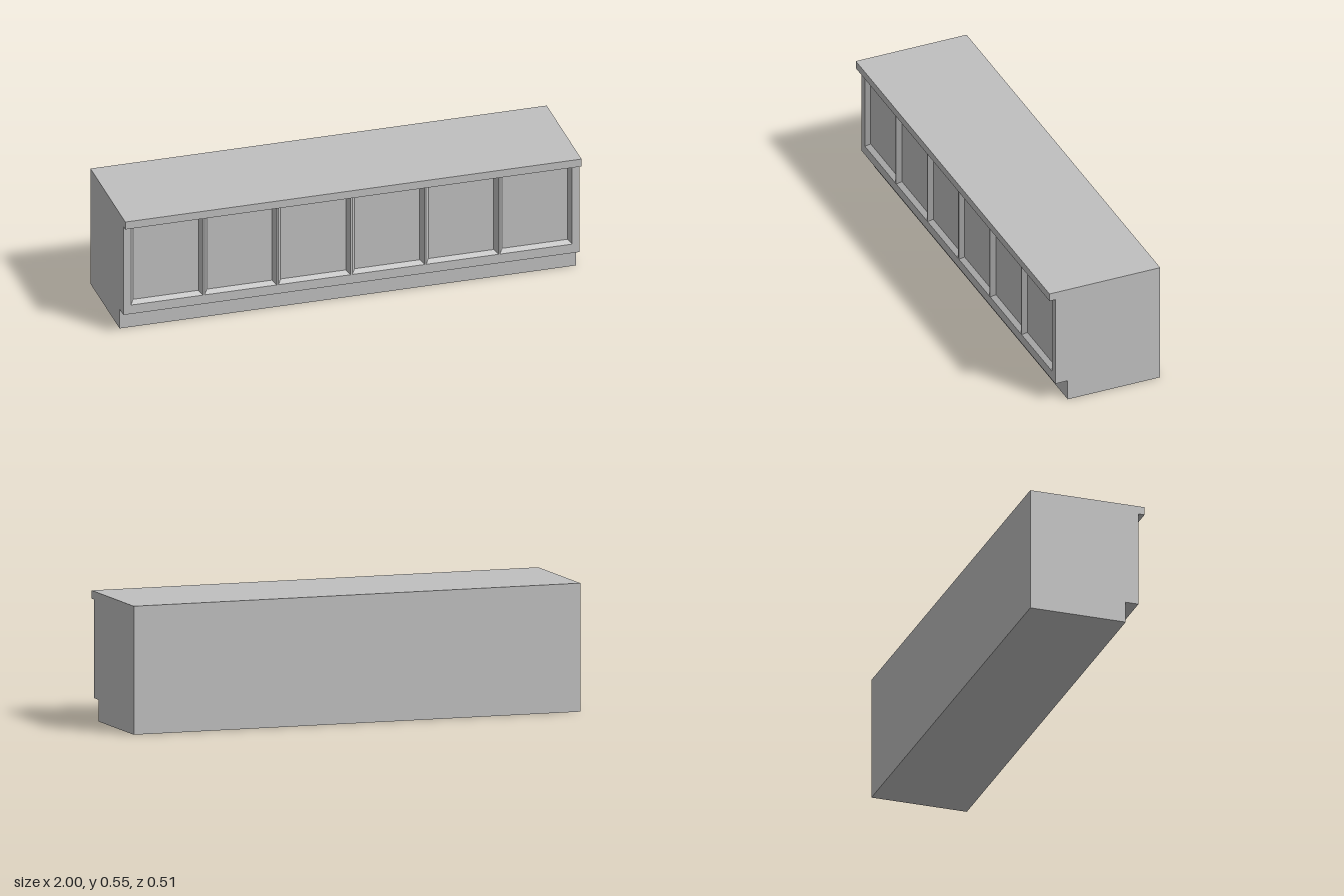
import * as THREE from 'three';

const grey = new THREE.MeshStandardMaterial({ color: 0xc0c0c0 });
grey.name = 'plain grey';

const BACK = -0.254, RECESS = 0.208, FRONT = 0.228;
const BASE = 0.092, TOP = 0.51;

// Box given by its height range and depth range, spanning the full width
function slab(name, y0, y1, z0, z1) {
  const geo = new THREE.BoxGeometry(2, y1 - y0, z1 - z0);
  geo.translate(0, (y0 + y1) / 2, (z0 + z1) / 2);
  const mesh = new THREE.Mesh(geo, grey);
  mesh.name = name;
  return mesh;
}

function rectangle(target, x0, y0, x1, y1) {
  target.moveTo(x0, y0);
  target.lineTo(x1, y0);
  target.lineTo(x1, y1);
  target.lineTo(x0, y1);
  target.closePath();
  return target;
}

// Face frame with six openings whose edges slope inward toward the recessed panels
function faceFrame() {
  const count = 6, pitch = 0.3236, halfW = 0.158, y0 = 0.134, y1 = 0.503, bevel = 0.015;
  const shape = rectangle(new THREE.Shape(), -1, BASE, 1, TOP);
  for (let i = 0; i < count; i++) {
    const x = (i - (count - 1) / 2) * pitch;
    shape.holes.push(rectangle(new THREE.Path(), x - halfW, y0, x + halfW, y1));
  }
  const geo = new THREE.ExtrudeGeometry(shape, { depth: FRONT - RECESS, bevelEnabled: false });

  // Draw the rear corners of each opening inward to make the chamfers
  const pos = geo.attributes.position;
  for (let i = 0; i < pos.count; i++) {
    const x = pos.getX(i), y = pos.getY(i);
    if (pos.getZ(i) > 0.001 || Math.abs(x) > 0.999) continue;
    const column = Math.floor(x / pitch + count / 2);
    const centre = (column - (count - 1) / 2) * pitch;
    pos.setX(i, x + Math.sign(centre - x) * bevel);
    pos.setY(i, y + Math.sign((y0 + y1) / 2 - y) * bevel);
  }
  geo.computeVertexNormals();
  geo.translate(0, 0, RECESS);
  const mesh = new THREE.Mesh(geo, grey);
  mesh.name = 'panelFrame';
  return mesh;
}

export function createModel() {
  const group = new THREE.Group();
  group.name = 'counter';
  group.add(
    slab('toeKick', 0, BASE, BACK, 0.171),
    slab('carcass', BASE, TOP, BACK, RECESS),
    slab('countertop', TOP, 0.545, BACK, 0.255),
    faceFrame()
  );
  return group;
}
